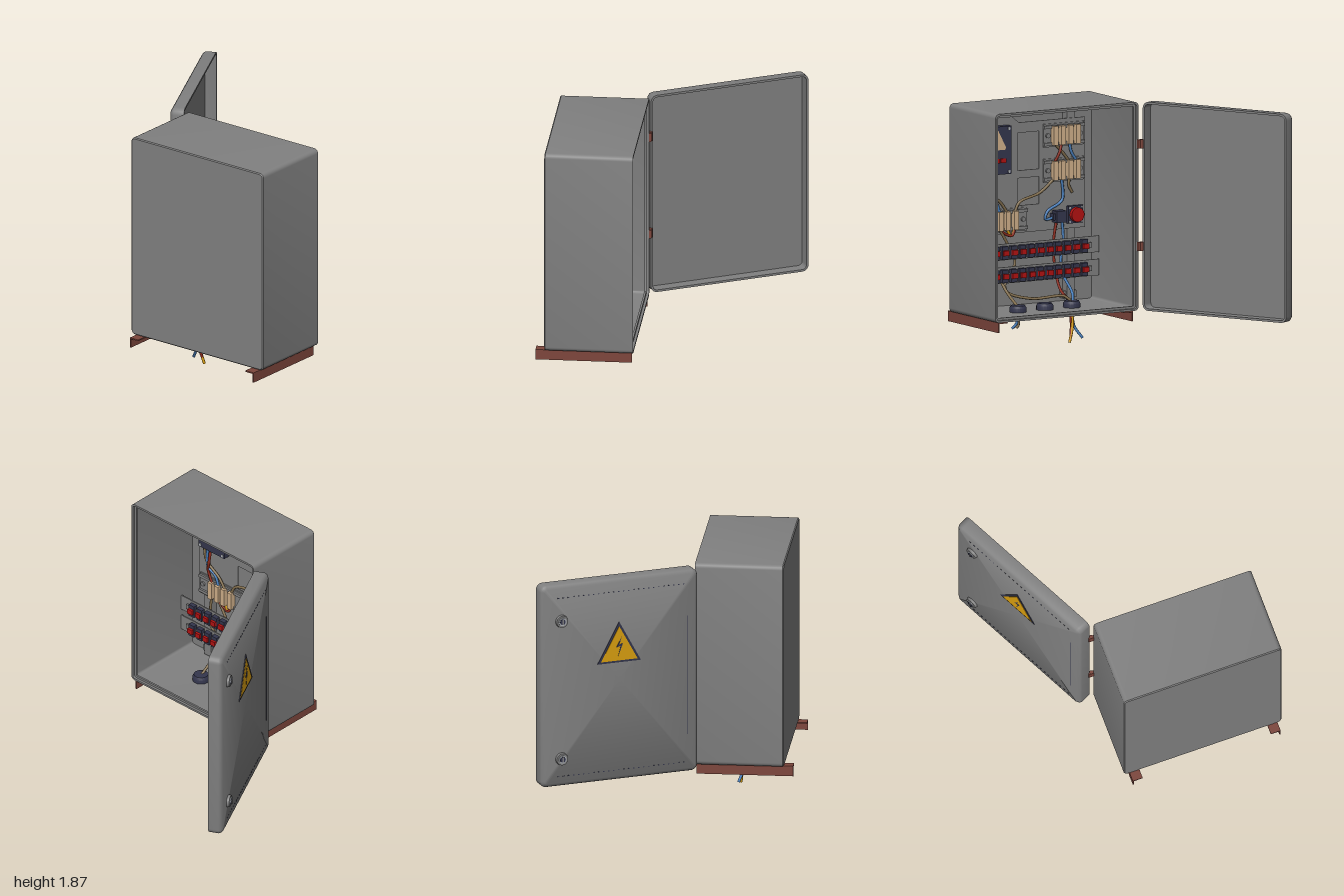
import * as THREE from 'three';
import { toCreasedNormals } from 'three/addons/utils/BufferGeometryUtils.js';

const paint = (name, color) => {
  const m = new THREE.MeshStandardMaterial({ color });
  m.name = name;
  return m;
};

// Closed shell lofted from rounded rectangles; profile = [inset or null (centre), depth]
function shellGeometry(w, h, r, profile) {
  const rings = profile.map(([inset, d]) => {
    const pts = [];
    for (let c = 0; c < 4; c++) for (let s = 0; s <= 5; s++) {
      const a = (c + s / 5) * Math.PI / 2;
      if (inset === null) { pts.push([0, 0, d]); continue; }
      const rr = Math.max(r - inset, 0.006);
      const cx = (w / 2 - inset - rr) * (c === 0 || c === 3 ? 1 : -1);
      const cy = (h / 2 - inset - rr) * (c < 2 ? 1 : -1);
      pts.push([cx + rr * Math.cos(a), cy + rr * Math.sin(a), d]);
    }
    return pts;
  });
  const pos = [];
  for (let i = 0; i < rings.length - 1; i++) {
    const A = rings[i], B = rings[i + 1], n = A.length;
    for (let k = 0; k < n; k++) {
      const j = (k + 1) % n;
      if (profile[i][0] !== null) pos.push(...A[k], ...A[j], ...B[j]);
      if (profile[i + 1][0] !== null) pos.push(...A[k], ...B[j], ...B[k]);
    }
  }
  const g = new THREE.BufferGeometry();
  g.setAttribute('position', new THREE.Float32BufferAttribute(pos, 3));
  return toCreasedNormals(g, 0.6);
}

export function createModel() {
  const model = new THREE.Group();
  model.name = 'electricalCabinet';
  const grey = paint('grey steel', 0x808080), rust = paint('rust brown', 0x7d463c);
  const navy = paint('dark navy plastic', 0x34364d), red = paint('red plastic', 0xb31212);
  const tan = paint('tan terminal', 0xd0b08a), blue = paint('blue wire', 0x4a80bd);
  const khaki = paint('khaki wire', 0x84704f), darkRed = paint('dark red wire', 0x8c2a1c);
  const yellow = paint('warning yellow', 0xdba010), pale = paint('pale screw', 0xb0b4b8);

  const add = (name, geo, mat, parent = model) => {
    const m = new THREE.Mesh(geo, mat);
    m.name = name;
    parent.add(m);
    return m;
  };
  const box = (name, mat, [x0, x1], [y0, y1], [z0, z1], parent) => {
    const m = add(name, new THREE.BoxGeometry(x1 - x0, y1 - y0, z1 - z0), mat, parent);
    m.position.set((x0 + x1) / 2, (y0 + y1) / 2, (z0 + z1) / 2);
    return m;
  };
  const shapeOf = pts => new THREE.Shape(pts.map(p => new THREE.Vector2(...p)));
  const extrude = (shape, depth) => new THREE.ExtrudeGeometry(shape, { depth, bevelEnabled: false });
  // Disc or cylinder whose axis points along +x
  const knobX = (name, mat, r, x, y, z, d) => {
    const m = add(name, new THREE.CylinderGeometry(r, r, d, 24), mat);
    m.rotation.z = -Math.PI / 2;
    m.position.set(x, y, z);
    return m;
  };
  // Flat plate facing +x, outline given as [z, y]
  const plateX = (name, mat, pts, x, depth, holes = []) => {
    const s = shapeOf(pts.map(([z, y]) => [-z, y]));
    for (const h of holes) s.holes.push(new THREE.Path(h.map(([z, y]) => new THREE.Vector2(-z, y))));
    const m = add(name, extrude(s, depth), mat);
    m.rotation.y = Math.PI / 2;
    m.position.x = x;
    return m;
  };

  // Cabinet body, open towards +x
  const body = add('cabinetBody', shellGeometry(1.28, 1.61, 0.035, [[null, 0], [0.008, 0], [0, 0.008], [0, 0.68],
    [0.016, 0.68], [0.016, 0.66], [0.034, 0.66], [0.034, 0.645], [0.014, 0.645], [0.014, 0.014], [null, 0.014]]), grey);
  body.rotation.y = Math.PI / 2;
  body.position.set(-0.89, 1.075, 0.35);

  // Angle-iron feet
  for (const [z, s] of [[0.955, -1], [-0.245, 1]]) {
    const span = d => [z, z + s * d].sort((a, b) => a - b);
    box('footWeb', rust, [-0.96, -0.22], [0.19, 0.27], span(0.01));
    box('footFlange', rust, [-0.96, -0.22], [0.26, 0.27], span(0.08));
  }

  // Cable entry plate and glands
  box('cableEntryPlate', rust, [-0.73, -0.37], [0.26, 0.271], [-0.04, 0.75]);
  const gland = [[0, 0.235], [0.04, 0.235], [0.055, 0.265], [0.066, 0.275], [0.066, 0.315], [0.055, 0.335], [0, 0.335]];
  for (const z of [0.58, 0.34, 0.1]) {
    const g = new THREE.LatheGeometry(gland.map(p => new THREE.Vector2(...p)), 20);
    add('cableGland', toCreasedNormals(g, 0.5), navy).position.set(-0.55, 0, z);
  }
  for (const x of [-0.71, -0.39]) for (const z of [-0.015, 0.355, 0.725]) {
    add('plateScrew', new THREE.CylinderGeometry(0.01, 0.01, 0.008, 10), pale).position.set(x, 0.258, z);
  }

  // Mounting rails and plate
  for (const z of [0.692, -0.113]) {
    box('mountingRail', grey, [-0.88, -0.81], [0.3, 1.85], [z + 0.03, z + 0.095]);
    box('mountingRailFace', grey, [-0.82, -0.81], [0.42, 1.75], [z + 0.045, z + 0.08]);
    for (const y of [0.31, 1.79]) box('railBracket', grey, [-0.88, -0.83], [y, y + 0.055], [z, z + 0.125]);
  }
  const rect = (z0, z1, y0, y1) => [[z0, y0], [z1, y0], [z1, y1], [z0, y1]];
  plateX('mountingPlate', grey, [[0.83, 0.85], [-0.17, 0.85], [-0.17, 1.7], [0.42, 1.7], [0.53, 1.79], [0.83, 1.79]],
    -0.81, 0.01, [rect(0.24, 0.43, 1.33, 1.62), rect(0.24, 0.43, 1.06, 1.27)]);

  // Terminal blocks on their rails
  const terminals = (zs, y, z0, z1) => {
    box('terminalRailBase', grey, [-0.8, -0.79], [y - 0.09, y + 0.09], [z0, z1]);
    for (const s of [-1, 1]) box('terminalRailEdge', grey, [-0.79, -0.775], [y + s * 0.066 - 0.012, y + s * 0.066 + 0.012], [z0, z1]);
    for (const z of [z0 + 0.035, z1 - 0.035]) knobX('railScrew', grey, 0.018, -0.785, y, z, 0.016);
    for (const z of zs) box('terminalBlock', tan, [-0.79, -0.745], [y - 0.073, y + 0.073], [z - 0.02, z + 0.02]);
  };
  terminals([0.118, 0.054, -0.016, -0.08], 1.58, -0.156, 0.204);
  terminals([0.118, 0.054, -0.016, -0.08], 1.31, -0.156, 0.204);
  terminals([0.676, 0.607, 0.542, 0.472], 0.955, 0.354, 0.816);

  // Control unit with warning sign and lamps
  box('controlUnit', navy, [-0.8, -0.745], [1.32, 1.69], [0.52, 0.79]);
  plateX('controlUnitSign', tan, [[0.74, 1.525], [0.73, 1.51], [0.58, 1.51], [0.57, 1.525], [0.64, 1.66], [0.67, 1.66]], -0.745, 0.006);
  for (const z of [0.717, 0.655, 0.593]) box('controlLamp', red, [-0.75, -0.735], [1.41, 1.443], [z - 0.025, z + 0.025]);
  for (const y of [1.34, 1.67]) for (const z of [0.54, 0.77]) knobX('controlScrew', pale, 0.011, -0.744, y, z, 0.008);

  // Stop button and relay
  box('stopButtonBase', navy, [-0.8, -0.775], [0.89, 1.025], [-0.14, -0.008]);
  knobX('stopButton', red, 0.056, -0.76, 0.957, -0.075, 0.035);
  for (const y of [0.903, 1.012]) for (const z of [-0.128, -0.02]) knobX('buttonScrew', pale, 0.008, -0.774, y, z, 0.006);
  box('relay', navy, [-0.8, -0.73], [0.91, 1.0], [0.037, 0.122]);
  box('relayTab', navy, [-0.8, -0.75], [0.93, 0.98], [0.12, 0.14]);

  // Two rows of breakers on full-width strips
  for (const y of [0.717, 0.537]) {
    box('breakerStrip', grey, [-0.755, -0.745], [y - 0.06, y + 0.066], [-0.265, 0.97]);
    box('breakerRail', grey, [-0.745, -0.73], [y - 0.02, y + 0.02], [-0.19, 0.905]);
    for (let i = 0; i < 13; i++) {
      const z = 0.832 - i * 0.0792;
      box('breaker', navy, [-0.745, -0.71], [y - 0.05, y + 0.05], [z - 0.027, z + 0.027]);
      box('breakerSwitch', red, [-0.71, -0.69], [y - 0.02, y + 0.02], [z - 0.024, z + 0.024]);
    }
  }

  // Wires through points [z, y, x]
  const wire = (mat, ...pts) => {
    const curve = new THREE.CatmullRomCurve3(pts.map(([z, y, x = -0.773]) => new THREE.Vector3(x, y, z)));
    add('wire', new THREE.TubeGeometry(curve, 28, 0.011, 7), mat);
  };
  wire(khaki, [0.757, 1.33], [0.73, 1.2], [0.6, 1.1], [0.542, 1.02]);
  wire(blue, [0.72, 1.33], [0.715, 1.15], [0.64, 1.1], [0.607, 1.02]);
  wire(darkRed, [0.687, 1.33], [0.69, 1.2, -0.755], [0.715, 1.12], [0.676, 1.02]);
  wire(khaki, [0.472, 1.02], [0.43, 1.09], [0.25, 1.15], [0.118, 1.25]);
  wire(yellow, [0.542, 0.89], [0.505, 0.835], [0.472, 0.89]);
  wire(darkRed, [0.607, 0.89], [0.55, 0.85], [0.5, 0.84, -0.765], [0.472, 0.89]);
  wire(khaki, [0.676, 0.89], [0.69, 0.78], [0.69, 0.63], [0.62, 0.53], [0.59, 0.42, -0.7], [0.58, 0.32, -0.55]);
  wire(khaki, [0.607, 0.89], [0.54, 0.78], [0.47, 0.62], [0.55, 0.52], [0.58, 0.42, -0.72], [0.4, 0.36, -0.65], [0.15, 0.37, -0.57], [0.1, 0.32, -0.55]);
  wire(khaki, [0.118, 1.52], [0.05, 1.45], [-0.016, 1.37]);
  wire(darkRed, [0.054, 1.52], [0.08, 1.45, -0.76], [0.118, 1.37]);
  wire(blue, [-0.016, 1.52], [-0.03, 1.45], [-0.08, 1.37]);
  wire(blue, [0.054, 1.25], [0.05, 1.08], [0.18, 1.0], [0.2, 0.94], [0.12, 0.95]);
  wire(khaki, [-0.016, 1.25], [-0.01, 1.19], [-0.04, 1.13]);
  wire(darkRed, [0.1, 0.92], [0.125, 0.78], [0.12, 0.6], [0.12, 0.4, -0.68], [0.1, 0.32, -0.55]);
  wire(blue, [0.05, 0.92], [0.04, 0.78], [0.06, 0.55], [0.03, 0.38, -0.66], [0.09, 0.32, -0.55]);
  // Cable ends below the cabinet
  wire(yellow, [0.1, 0.25, -0.55], [0.1, 0.14, -0.54], [0.135, 0.015, -0.525]);
  wire(darkRed, [0.11, 0.25, -0.55], [0.105, 0.15, -0.55], [0.12, 0.06, -0.53]);
  wire(blue, [0.09, 0.25, -0.56], [0.08, 0.14, -0.55], [0.025, 0.045, -0.515]);
  wire(blue, [0.58, 0.25, -0.55], [0.59, 0.19, -0.56], [0.615, 0.155, -0.58]);
  wire(khaki, [0.575, 0.25, -0.55], [0.575, 0.18, -0.555], [0.59, 0.16, -0.56]);

  // Hinges
  for (const y of [0.765, 1.555]) {
    box('hingeLeaf', rust, [-0.215, -0.193], [y - 0.034, y + 0.034], [-0.33, -0.275]);
    add('hingePin', new THREE.CylinderGeometry(0.014, 0.014, 0.07, 12), rust).position.set(-0.2, y, -0.308);
  }

  // Open door: a tray swung on the hinge line
  const door = new THREE.Group();
  door.name = 'door';
  door.position.set(-0.2, 0, -0.32);
  door.rotation.y = 0.468;
  model.add(door);
  add('doorTray', shellGeometry(1.288, 1.61, 0.05, [[null, 0], [0.03, 0], [0.008, 0.014], [0, 0.03], [0, 0.11],
    [0.017, 0.11], [0.017, 0.02], [null, 0.02]]), grey, door).position.set(0.644, 1.075, -0.11);

  // Door outside: x runs from the hinge towards negative, z points outwards
  const outside = new THREE.Group();
  outside.name = 'doorOutside';
  outside.position.z = -0.11;
  outside.rotation.y = Math.PI;
  door.add(outside);
  const tri = (w, h) => shapeOf([[-w, -h / 3], [w, -h / 3], [0, 2 * h / 3]]);
  add('warningSignBorder', extrude(tri(0.178, 0.325), 0.004), navy, outside).position.set(-0.65, 1.318, 0);
  add('warningSignFace', extrude(tri(0.15, 0.272), 0.007), yellow, outside).position.set(-0.65, 1.316, 0);
  add('warningBolt', extrude(shapeOf([[0.02, 0.1], [-0.025, 0.015], [0.01, 0.025], [-0.01, -0.055], [0.03, 0.045], [0, 0.037]]), 0.009),
    navy, outside).position.set(-0.65, 1.316, 0);
  for (const y of [0.49, 1.59]) {
    [[0.05, 0.02, grey], [0.034, 0.026, pale], [0.024, 0.03, navy]].forEach(([r, d, mat]) => {
      const k = add('doorLock', new THREE.CylinderGeometry(r * 0.92, r, d, 24), mat, outside);
      k.rotation.x = Math.PI / 2;
      k.position.set(-1.12, y, d / 2);
    });
    box('lockKey', grey, [-1.126, -1.114], [y - 0.02, y + 0.02], [0.03, 0.034], outside);
  }
  for (const y of [0.35, 1.775]) for (let i = 0; i < 26; i++) {
    const x = -0.12 - i * 0.041;
    box('ventSlot', navy, [x - 0.007, x + 0.007], [y - 0.003, y + 0.003], [0, 0.002], outside);
  }
  box('doorGroove', navy, [-0.093, -0.088], [0.57, 1.52], [0, 0.002], outside);
  return model;
}
